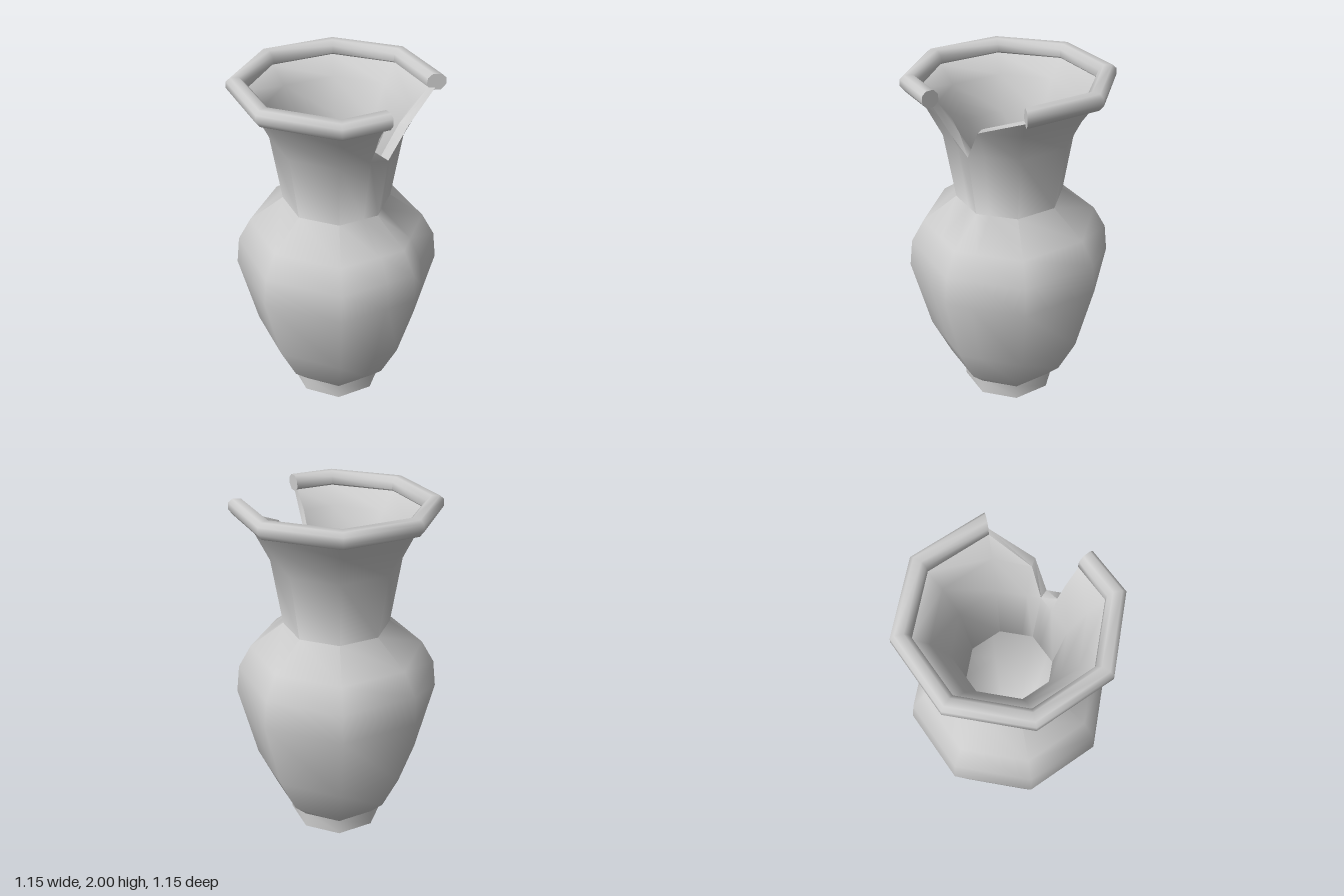
import * as THREE from 'three';
import { toCreasedNormals } from 'three/addons/utils/BufferGeometryUtils.js';

const SIDES = 8;
const CREASE = 1.1;

// Point on the octagon of radius r; u counts corners from the front towards +x
function ringPoint(u, r, y) {
  const i = Math.floor(u);
  const corner = (k) => {
    const a = (k / SIDES) * Math.PI * 2;
    return new THREE.Vector3(Math.sin(a) * r, y, Math.cos(a) * r);
  };
  return corner(i).lerp(corner(i + 1), u - i);
}

// Skin a list of columns { u, section: [[r, y], ...] } around the axis
function sweep(columns, closedSection, caps) {
  const pos = [];
  const tri = (a, b, c) => {
    const n = b.clone().sub(a).cross(c.clone().sub(a));
    if (n.length() > 1e-7) pos.push(...a.toArray(), ...b.toArray(), ...c.toArray());
  };
  const rings = columns.map(({ u, section }) => section.map(([r, y]) => ringPoint(u, r, y)));
  const n = rings[0].length;
  for (let i = 0; i < rings.length - 1; i++) {
    for (let j = 0; j < (closedSection ? n : n - 1); j++) {
      const k = (j + 1) % n;
      const a = rings[i][j], b = rings[i + 1][j], c = rings[i + 1][k], d = rings[i][k];
      tri(a, b, d);
      tri(c, d, b);
    }
  }
  if (caps) {
    const first = rings[0], last = rings[rings.length - 1];
    for (let j = 1; j < n - 1; j++) {
      tri(first[0], first[j], first[j + 1]);
      tri(last[0], last[j + 1], last[j]);
    }
  }
  const g = new THREE.BufferGeometry();
  g.setAttribute('position', new THREE.Float32BufferAttribute(pos, 3));
  return toCreasedNormals(g, CREASE);
}

// Cut a rising profile off at height h, keeping its number of points
function clip(profile, h) {
  let cut = null;
  return profile.map(([r, y], i) => {
    if (y <= h) return [r, y];
    if (!cut) {
      const [r0, y0] = profile[i - 1];
      cut = [r0 + ((r - r0) * (h - y0)) / (y - y0), h];
    }
    return cut;
  });
}

export function createModel() {
  const group = new THREE.Group();
  const clay = new THREE.MeshStandardMaterial({ color: 0xcccccc });
  clay.name = 'grey clay';
  const add = (name, geometry) => {
    const mesh = new THREE.Mesh(geometry, clay);
    mesh.name = name;
    group.add(mesh);
  };

  // Foot
  const footProfile = [[0, 0], [0.28, 0], [0.28, 0.097]].map((p) => new THREE.Vector2(...p));
  add('foot', toCreasedNormals(new THREE.LatheGeometry(footProfile, SIDES), CREASE));

  // Body and neck as one thick wall, with the broken edge at the front
  const outer = [
    [0.28, 0.095], [0.365, 0.19], [0.475, 0.43], [0.577, 0.86], [0.558, 1.02],
    [0.485, 1.15], [0.298, 1.29], [0.355, 1.66], [0.44, 1.83], [0.505, 1.925],
  ];
  const inner = [
    [0, 0.1], [0.21, 0.1], [0.24, 0.13], [0.31, 0.21], [0.42, 0.44], [0.52, 0.86],
    [0.5, 1.0], [0.44, 1.11], [0.24, 1.27], [0.3, 1.645], [0.385, 1.83], [0.465, 1.925],
  ];
  const FULL = 1.925;
  const edge = [
    [0, 1.645], [0.325, 1.82], [1, FULL], [2, FULL], [3, FULL], [4, FULL], [5, FULL],
    [6, FULL], [7, FULL], [7.605, FULL], [7.625, 1.73], [8, 1.645],
  ];
  add('body', sweep(edge.map(([u, h]) => ({
    u,
    section: [...clip(outer, h), ...clip(inner, h).reverse()],
  })), false, false));

  // Rolled rim, open across the break
  const rimSection = [
    [0.49, 1.912], [0.535, 1.914], [0.56, 1.945], [0.557, 1.98], [0.535, 1.999],
    [0.49, 2], [0.464, 1.975], [0.46, 1.935],
  ];
  add('rim', sweep([1, 2, 3, 4, 5, 6, 7, 7.61].map((u) => ({ u, section: rimSection })), true, true));

  return group;
}
